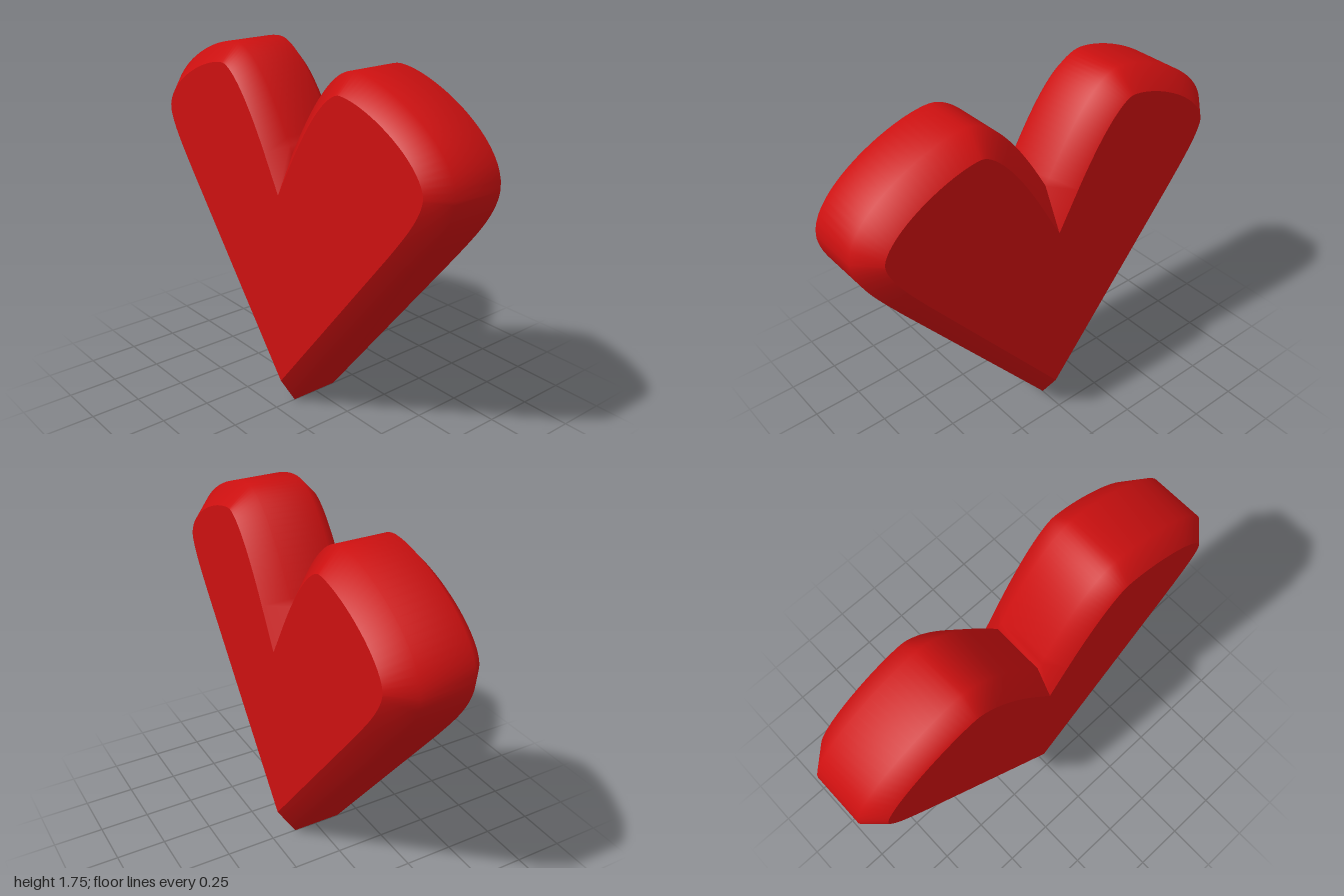
import * as THREE from 'three';

// Half outline of the heart, from the notch over the lobe to the bottom tip
function halfOutline() {
  const path = new THREE.Path();
  path.moveTo(0, 1.295);
  path.bezierCurveTo(0.13, 1.53, 0.28, 1.745, 0.42, 1.745);
  path.bezierCurveTo(0.6, 1.745, 1.0, 1.56, 1.0, 1.35);
  path.bezierCurveTo(1.0, 1.24, 0.88, 1.1, 0.8, 0.995);
  path.lineTo(0, 0);
  return path.getPoints(20);
}

// Moves the outline inwards by d, keeping both ends on the centre line
function inset(points, d) {
  const last = points.length - 1;
  const dir = (i) => points[i + 1].clone().sub(points[i]).normalize();
  return points.map((p, i) => {
    const t = dir(Math.min(i, last - 1)).add(dir(Math.max(i - 1, 0))).normalize();
    const q = new THREE.Vector2(p.x + t.y * d, p.y - t.x * d);
    if (i === 0 || i === last) q.addScaledVector(t, -q.x / t.x);
    return q;
  });
}

// Bevelled edge of one half: rings of constant x joined into a smooth strip
function rimGeometry(rings, side) {
  const positions = [], index = [];
  const n = rings.length;
  const count = rings[0].points.length;
  for (let i = 0; i < count; i++) {
    for (const { x, points } of rings) positions.push(x, points[i].y, side * points[i].x);
  }
  for (let i = 0; i < count - 1; i++) {
    for (let j = 0; j < n - 1; j++) {
      const a = i * n + j, b = a + n, c = b + 1, d = a + 1;
      if (side > 0) index.push(a, b, c, a, c, d);
      else index.push(a, c, b, a, d, c);
    }
  }
  const geometry = new THREE.BufferGeometry();
  geometry.setAttribute('position', new THREE.Float32BufferAttribute(positions, 3));
  geometry.setIndex(index);
  geometry.computeVertexNormals();
  return geometry;
}

// Flat heart-shaped face closing one side
function faceGeometry({ x, points }) {
  const mirrored = points.slice(1, -1).reverse().map((p) => new THREE.Vector2(-p.x, p.y));
  const geometry = new THREE.ShapeGeometry(new THREE.Shape([...points, ...mirrored]));
  geometry.rotateY(Math.sign(x) * Math.PI / 2);
  geometry.translate(x, 0, 0);
  return geometry;
}

export function createModel() {
  const model = new THREE.Group();
  model.name = 'heart';
  const red = new THREE.MeshStandardMaterial({ color: 0xcc1010 });
  const add = (name, geometry) => {
    const mesh = new THREE.Mesh(geometry, red);
    mesh.name = name;
    model.add(mesh);
  };

  // Cross-section through the thickness: bevel, flat rim, bevel
  const outline = halfOutline();
  const rings = [
    { x: -0.22, points: inset(outline, 0.088) },
    { x: -0.135, points: outline },
    { x: 0.12, points: outline },
    { x: 0.22, points: inset(outline, 0.1) },
  ];

  add('frontRim', rimGeometry(rings, 1));
  add('backRim', rimGeometry(rings, -1));
  add('rightFace', faceGeometry(rings[0]));
  add('leftFace', faceGeometry(rings[3]));
  return model;
}
